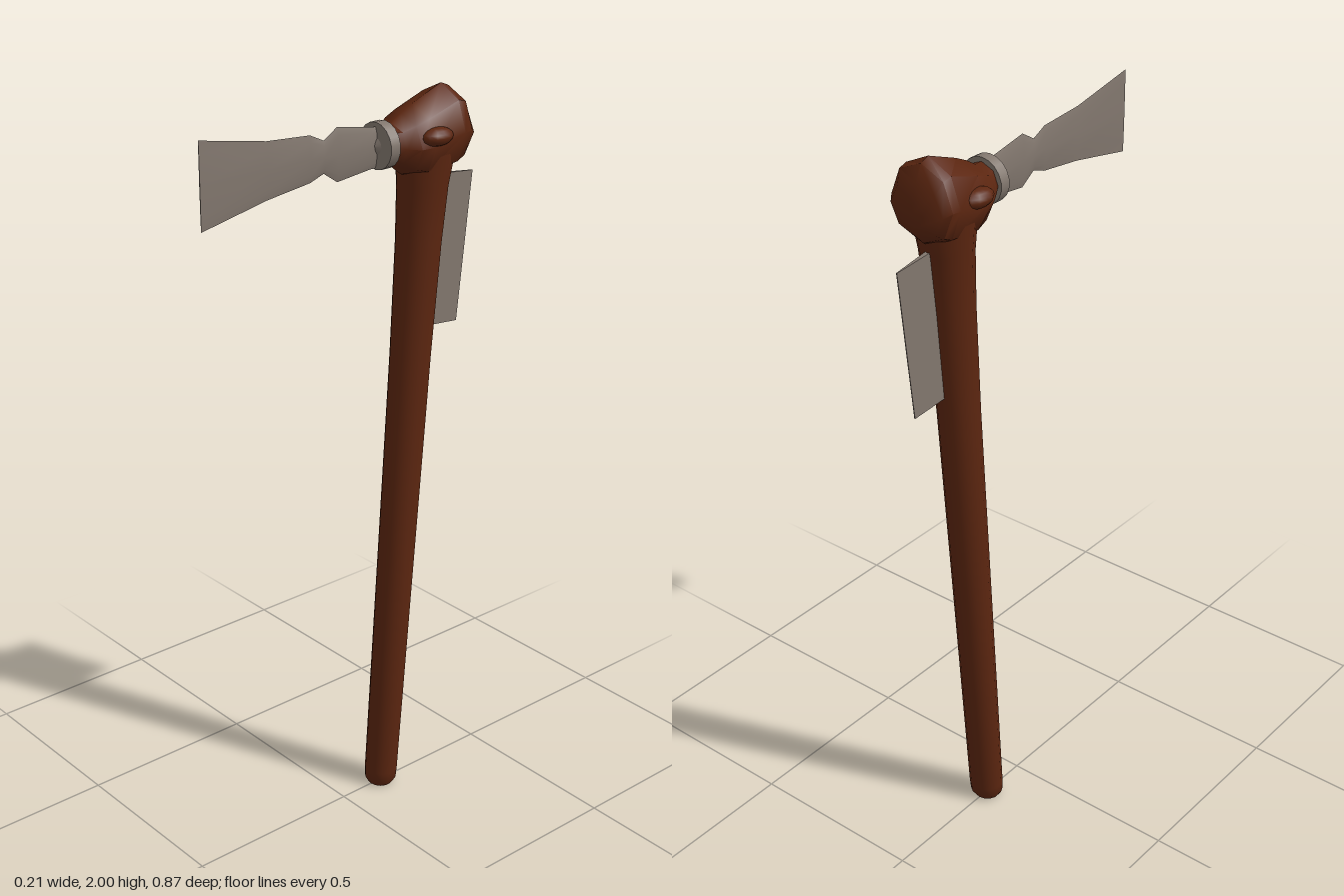
import * as THREE from 'three';
import { toCreasedNormals } from 'three/addons/utils/BufferGeometryUtils.js';

// Loft elliptical rings; each ring is [centre, half-axis u, half-axis v] with u x v along the loft.
function loft(rings, sides, crease) {
  const pos = [], index = [];
  rings.forEach(([c, u, v]) => {
    for (let j = 0; j < sides; j++) {
      const a = (j / sides) * Math.PI * 2;
      const p = c.clone().addScaledVector(u, Math.cos(a)).addScaledVector(v, Math.sin(a));
      pos.push(p.x, p.y, p.z);
    }
  });
  for (let i = 0; i < rings.length - 1; i++) {
    for (let j = 0; j < sides; j++) {
      const k = (j + 1) % sides;
      const a = i * sides + j, b = i * sides + k, c = a + sides, d = b + sides;
      index.push(a, b, c, b, d, c);
    }
  }
  // End caps
  const first = rings[0][0], last = rings[rings.length - 1][0];
  const n = pos.length / 3, top = (rings.length - 1) * sides;
  pos.push(first.x, first.y, first.z, last.x, last.y, last.z);
  for (let j = 0; j < sides; j++) {
    const k = (j + 1) % sides;
    index.push(n, k, j, n + 1, top + j, top + k);
  }
  const g = new THREE.BufferGeometry();
  g.setAttribute('position', new THREE.Float32BufferAttribute(pos, 3));
  g.setIndex(index);
  return toCreasedNormals(g, crease);
}

const V = (x, y, z) => new THREE.Vector3(x, y, z);

// Rings running along +z, from rows [z, bottom, top, half width]
const alongZ = rows => rows.map(([z, lo, hi, w]) =>
  [V(0, (lo + hi) / 2, z), V(w, 0, 0), V(0, (hi - lo) / 2, 0)]);

export function createModel() {
  const model = new THREE.Group();
  const wood = new THREE.MeshStandardMaterial({ color: 0x5c2610 });
  wood.name = 'brown wood';
  const metal = new THREE.MeshStandardMaterial({ color: 0x83786f });
  metal.name = 'grey metal';
  const add = (name, geometry, material) => {
    const mesh = new THREE.Mesh(geometry, material);
    mesh.name = name;
    model.add(mesh);
    return mesh;
  };

  // Leaning handle, widening into the head: [y, half width, half depth]
  const handle = [
    [0.005, 0.036, 0.034], [0.02, 0.046, 0.043], [0.05, 0.048, 0.044], [0.7, 0.051, 0.05],
    [1.3, 0.054, 0.056], [1.6, 0.06, 0.061], [1.75, 0.067, 0.067], [1.83, 0.078, 0.075], [1.88, 0.08, 0.07],
  ].map(([y, w, d]) => [V(0, y, -0.136 - 0.0714 * y), V(0, 0, d), V(w, 0, 0)]);
  add('handle', loft(handle, 14, 0.9), wood);

  // Bulbous wooden head
  add('head', loft(alongZ([
    [-0.378, 1.845, 1.91, 0.03], [-0.362, 1.815, 1.95, 0.078], [-0.343, 1.795, 1.99, 0.092],
    [-0.318, 1.78, 2.0, 0.094], [-0.222, 1.775, 1.963, 0.09], [-0.185, 1.79, 1.945, 0.082],
    [-0.153, 1.815, 1.925, 0.063], [-0.128, 1.83, 1.925, 0.047],
  ]), 8, 0.8), wood);

  // Oval bosses on both cheeks
  for (const side of [-1, 1]) {
    const boss = add(side > 0 ? 'leftBoss' : 'rightBoss', new THREE.SphereGeometry(1, 12, 8), wood);
    boss.scale.set(0.03, 0.024, 0.047);
    boss.position.set(side * 0.077, 1.892, -0.238);
  }

  // Collar and its small front cone
  const collar = add('collar', new THREE.CylinderGeometry(0.06, 0.06, 0.03, 18), metal);
  collar.rotation.x = Math.PI / 2;
  collar.position.set(0, 1.876, -0.117);
  const cone = add('collarCone', new THREE.CylinderGeometry(0.008, 0.022, 0.008, 12), metal);
  cone.rotation.x = Math.PI / 2;
  cone.position.set(0, 1.876, -0.098);

  // Notched front blade, thinning to its edge
  add('frontBlade', loft(alongZ([
    [-0.11, 1.82, 1.924, 0.007], [-0.085, 1.82, 1.926, 0.0065], [0.021, 1.808, 1.945, 0.006],
    [0.064, 1.837, 1.919, 0.0055], [0.106, 1.822, 1.939, 0.005], [0.238, 1.805, 1.948, 0.0035],
    [0.434, 1.766, 1.984, 0.0012],
  ]), 8, 0.7), metal);

  // Rear fin, a thin wedge set into the back of the handle
  const fin = new THREE.BoxGeometry(0.016, 0.405, 0.14);
  const p = fin.attributes.position;
  for (let i = 0; i < p.count; i++) if (p.getZ(i) < 0) p.setX(i, p.getX(i) * 0.15);
  fin.computeVertexNormals();
  const rear = add('rearFin', fin, metal);
  rear.rotation.x = -0.112;
  rear.position.set(0, 1.561, -0.344);

  return model;
}
